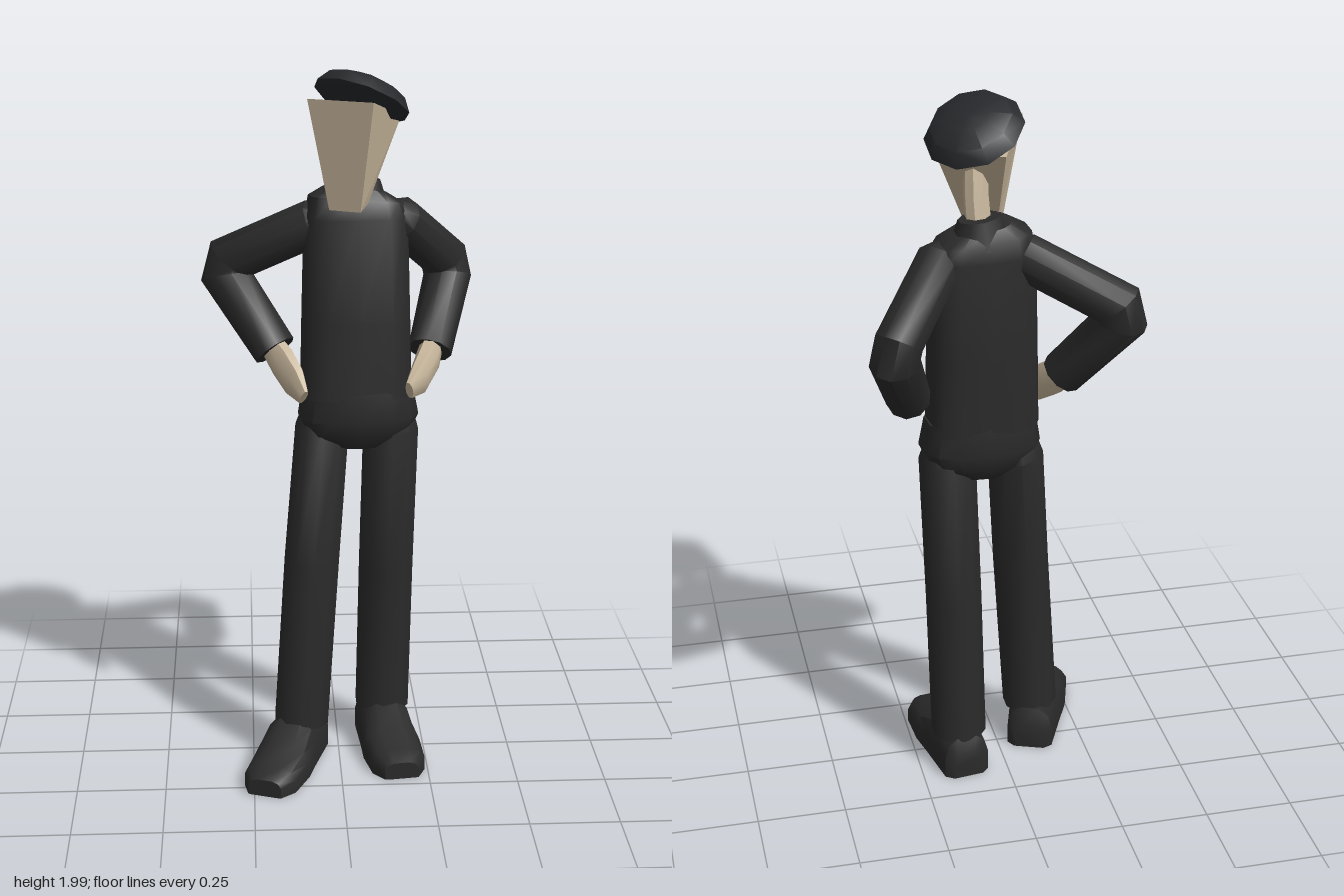
import * as THREE from 'three';
import { toCreasedNormals } from 'three/addons/utils/BufferGeometryUtils.js';

const V = (x, y, z) => new THREE.Vector3(x, y, z);
const cloth = new THREE.MeshStandardMaterial({ color: 0x2a2a2a });
const felt = new THREE.MeshStandardMaterial({ color: 0x26282b });
const skin = new THREE.MeshStandardMaterial({ color: 0xc6b59b });

// Skin a closed tube over cross-sections [x, y, z, halfWidth, halfDepth].
// ref fixes the roll, power > 2 makes the sections boxier.
function loft(path, ref, { sides = 10, power = 2, minY = -9 } = {}) {
  const pts = path.map(p => V(p[0], p[1], p[2]));
  const pos = [], idx = [], n = path.length;
  const dir = i => pts[i + 1].clone().sub(pts[i]).normalize();
  const bend = c => Math.sign(c) * Math.abs(c) ** (2 / power);
  path.forEach((p, i) => {
    const before = dir(Math.max(i - 1, 0)), after = dir(Math.min(i, n - 2));
    const t = before.clone().add(after).normalize();
    const u = ref.clone().cross(t).normalize();
    const v = t.clone().cross(u);
    const mitre = 1 / Math.max(0.7, t.dot(before));
    for (let j = 0; j < sides; j++) {
      const a = ((j + 0.5) / sides) * Math.PI * 2;
      const q = pts[i].clone()
        .addScaledVector(u, bend(Math.cos(a)) * p[3] * mitre)
        .addScaledVector(v, bend(Math.sin(a)) * p[4]);
      pos.push(q.x, Math.max(minY, q.y), q.z);
    }
  });
  for (let i = 0; i < n - 1; i++) for (let j = 0; j < sides; j++) {
    const k = (j + 1) % sides, a = i * sides, b = a + sides;
    idx.push(a + j, a + k, b + k, a + j, b + k, b + j);
  }
  for (let j = 1; j < sides - 1; j++) {
    const e = (n - 1) * sides;
    idx.push(0, j + 1, j, e, e + j, e + j + 1);
  }
  const g = new THREE.BufferGeometry();
  g.setAttribute('position', new THREE.Float32BufferAttribute(pos, 3));
  g.setIndex(idx);
  return toCreasedNormals(g, 0.75);
}

// Sleeve from shoulder to wrist with a blunt elbow
function sleeve(s, e, w) {
  const d1 = e.clone().sub(s).normalize(), d2 = w.clone().sub(e).normalize();
  const at = (p, d, k, r) => [...p.clone().addScaledVector(d, k).toArray(), r, r];
  return loft([
    at(s, d1, -0.04, 0.04), at(s, d1, 0, 0.066),
    at(e, d1, -0.042, 0.067), at(e, d2, 0.042, 0.067), at(w, d2, 0, 0.062),
  ], d1.clone().cross(d2).normalize());
}

// Shoe with a flat sole, from heel point to toe point
function shoe(heel, toe) {
  const profile = [ // distance along shoe, half width, height
    [0, 0.045, 0.08], [0.05, 0.068, 0.125], [0.42, 0.078, 0.135],
    [0.62, 0.085, 0.09], [0.88, 0.078, 0.07], [1, 0.05, 0.05],
  ];
  return loft(profile.map(([k, w, h]) => {
    const p = heel.clone().lerp(toe, k);
    return [p.x, 0.015, p.z, w, h - 0.015];
  }), V(0, 1, 0), { sides: 12, power: 3, minY: 0 });
}

export function createModel() {
  const model = new THREE.Group();
  const add = (name, geo, mat, parent = model) => {
    const m = new THREE.Mesh(geo, mat);
    m.name = name;
    parent.add(m);
    return m;
  };
  const front = V(0.1, 0, 0.99).normalize(), up = V(0, 1, 0);

  // Jacket, collar and hips
  add('jacket', loft([
    [0.05, 1.08, -0.03, 0.155, 0.1], [0.05, 1.3, -0.035, 0.15, 0.095],
    [0.05, 1.58, -0.045, 0.143, 0.08], [0.05, 1.63, -0.048, 0.13, 0.07],
    [0.055, 1.66, -0.052, 0.08, 0.052],
  ], front, { sides: 14, power: 3.2 }), cloth);
  add('collar', loft([
    [0.055, 1.61, -0.055, 0.09, 0.068], [0.062, 1.685, -0.058, 0.058, 0.045],
  ], front), cloth);
  add('hips', loft([
    [0.057, 0.935, -0.03, 0.07, 0.07], [0.057, 0.97, -0.03, 0.145, 0.095],
    [0.057, 1.02, -0.03, 0.17, 0.108], [0.055, 1.1, -0.03, 0.156, 0.1],
  ], front, { sides: 14, power: 2.6 }), cloth);

  // Arms, bent with hands on the hips
  add('rightSleeve', sleeve(V(-0.06, 1.565, -0.05), V(-0.33, 1.425, -0.16), V(-0.175, 1.205, -0.035)), cloth);
  add('leftSleeve', sleeve(V(0.17, 1.57, -0.06), V(0.335, 1.4, -0.26), V(0.262, 1.19, -0.07)), cloth);
  const hand = pts => loft(pts.map((p, i) =>
    [...p, [0.032, 0.034, 0.028, 0.012][i], [0.04, 0.052, 0.05, 0.026][i]]), up, { sides: 8 });
  add('rightHand', hand([[-0.19, 1.225, -0.05], [-0.155, 1.18, 0.0], [-0.125, 1.14, 0.055], [-0.1, 1.105, 0.095]]), skin);
  add('leftHand', hand([[0.268, 1.2, -0.08], [0.25, 1.175, -0.01], [0.222, 1.145, 0.06], [0.19, 1.125, 0.11]]), skin);

  // Trouser legs: the left is straight, the right steps forward
  add('leftLeg', loft([
    [0.15, 1.04, -0.035, 0.06, 0.06], [0.15, 0.98, -0.037, 0.08, 0.083],
    [0.14, 0.55, -0.06, 0.08, 0.08], [0.132, 0.11, -0.075, 0.08, 0.08],
  ], V(0, 0, 1)), cloth);
  add('rightLeg', loft([
    [-0.04, 1.04, -0.035, 0.06, 0.06], [-0.045, 0.98, -0.032, 0.078, 0.083],
    [-0.078, 0.6, 0.032, 0.08, 0.08], [-0.11, 0.11, 0.038, 0.08, 0.08],
  ], V(0, 0, 1)), cloth);
  add('leftShoe', shoe(V(0.12, 0, -0.165), V(0.172, 0, 0.217)), cloth);
  add('rightShoe', shoe(V(-0.085, 0, -0.06), V(-0.222, 0, 0.305)), cloth);

  // Neck
  add('neck', loft([
    [0.06, 1.62, -0.055, 0.036, 0.034], [0.065, 1.74, -0.035, 0.034, 0.032],
    [0.06, 1.85, -0.01, 0.034, 0.032],
  ], V(0, 0, 1), { sides: 8 }), skin);

  // Wedge-shaped head: wide sloping crown, narrow chin at the front
  const wedge = new THREE.BoxGeometry(0.19, 2, 2);
  const p = wedge.attributes.position;
  for (let i = 0; i < p.count; i++) {
    const chin = p.getY(i) < 0, back = p.getZ(i) < 0;
    if (chin) p.setXYZ(i, p.getX(i) * 0.48, back ? 1.635 : 1.62, back ? -0.085 : -0.032);
    else p.setXYZ(i, p.getX(i), back ? 1.86 : 1.92, back ? -0.2 : 0);
  }
  const head = add('head', toCreasedNormals(wedge, 0.1), skin);
  head.position.set(0, 0, 0.113);
  head.rotation.y = -0.445;

  // Beret, tipped down to the back and left
  const profile = [[0, -0.035], [0.085, -0.035], [0.137, 0], [0.112, 0.037], [0.055, 0.057], [0, 0.06]];
  const beret = add('beret', toCreasedNormals(
    new THREE.LatheGeometry(profile.map(q => new THREE.Vector2(...q)), 10), 0.7), felt);
  beret.position.set(0.063, 1.905, -0.008);
  beret.quaternion.setFromUnitVectors(up, V(0.4, 1, -0.45).normalize());

  return model;
}
